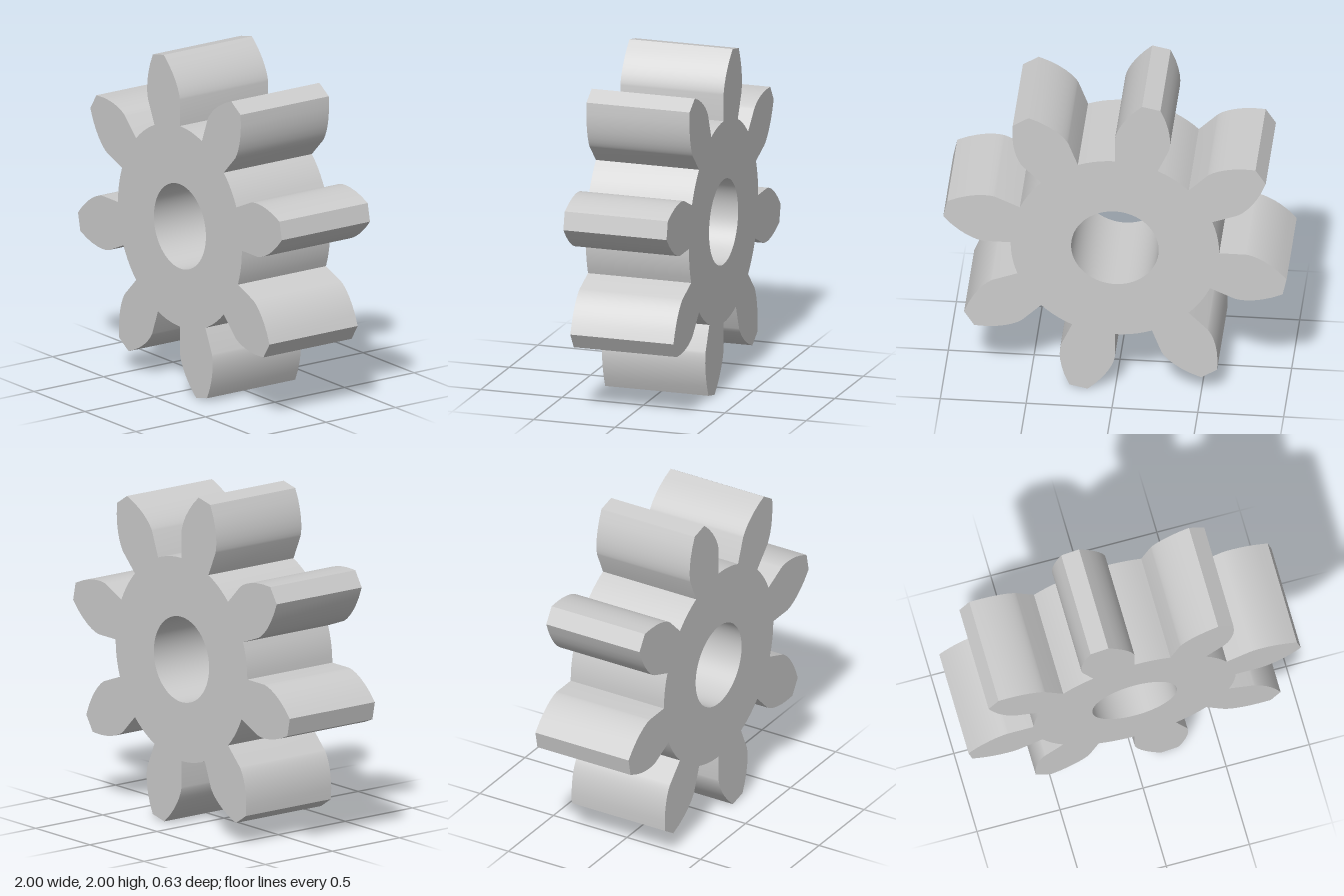
import * as THREE from 'three';
import { toCreasedNormals } from 'three/addons/utils/BufferGeometryUtils.js';

// Spur gear proportions
const TEETH = 8;
const PITCH = 0.81;
const MODULE = (2 * PITCH) / TEETH;
const TIP = PITCH + MODULE;
const ROOT = PITCH - MODULE;
const PRESSURE = THREE.MathUtils.degToRad(20);
const BASE = PITCH * Math.cos(PRESSURE);
const HALF_BASE = Math.PI / (2 * TEETH) + Math.tan(PRESSURE) - PRESSURE; // half tooth angle at base
const BORE = 0.255;
const DEPTH = 0.634;
const FLANK_STEPS = 8;
const ROOT_STEPS = 5;

const polar = (r, a) => new THREE.Vector2(r * Math.cos(a), r * Math.sin(a));

// One side of a tooth as [radius, half angle]: radial at the foot, then an involute to the tip
function flank() {
  const side = [[ROOT, HALF_BASE]];
  const tMax = Math.sqrt((TIP / BASE) ** 2 - 1);
  for (let i = 0; i <= FLANK_STEPS; i++) {
    const t = (tMax * i) / FLANK_STEPS;
    side.push([BASE * Math.sqrt(1 + t * t), HALF_BASE - (t - Math.atan(t))]);
  }
  return side;
}

function gearShape() {
  const side = flank();
  const pitchAngle = (2 * Math.PI) / TEETH;
  const gap = pitchAngle - 2 * HALF_BASE;
  const points = [];
  for (let k = 0; k < TEETH; k++) {
    const c = HALF_BASE + k * pitchAngle;
    for (const [r, a] of side) points.push(polar(r, c - a));
    for (const [r, a] of [...side].reverse()) points.push(polar(r, c + a));
    // valley between teeth
    for (let i = 1; i < ROOT_STEPS; i++) {
      points.push(polar(ROOT, c + HALF_BASE + (gap * i) / ROOT_STEPS));
    }
  }
  const shape = new THREE.Shape(points);
  // shaft bore
  shape.holes.push(new THREE.Path().absarc(0, 0, BORE, 0, Math.PI * 2, true));
  return shape;
}

export function createModel() {
  const group = new THREE.Group();
  group.name = 'spurGear';

  const geometry = new THREE.ExtrudeGeometry(gearShape(), {
    depth: DEPTH,
    bevelEnabled: false,
    curveSegments: 36,
  });
  geometry.translate(0, 1, -DEPTH / 2);

  const gear = new THREE.Mesh(
    toCreasedNormals(geometry, 0.4),
    new THREE.MeshStandardMaterial({ color: 0xcccccc })
  );
  gear.name = 'toothedWheel';
  group.add(gear);
  return group;
}
